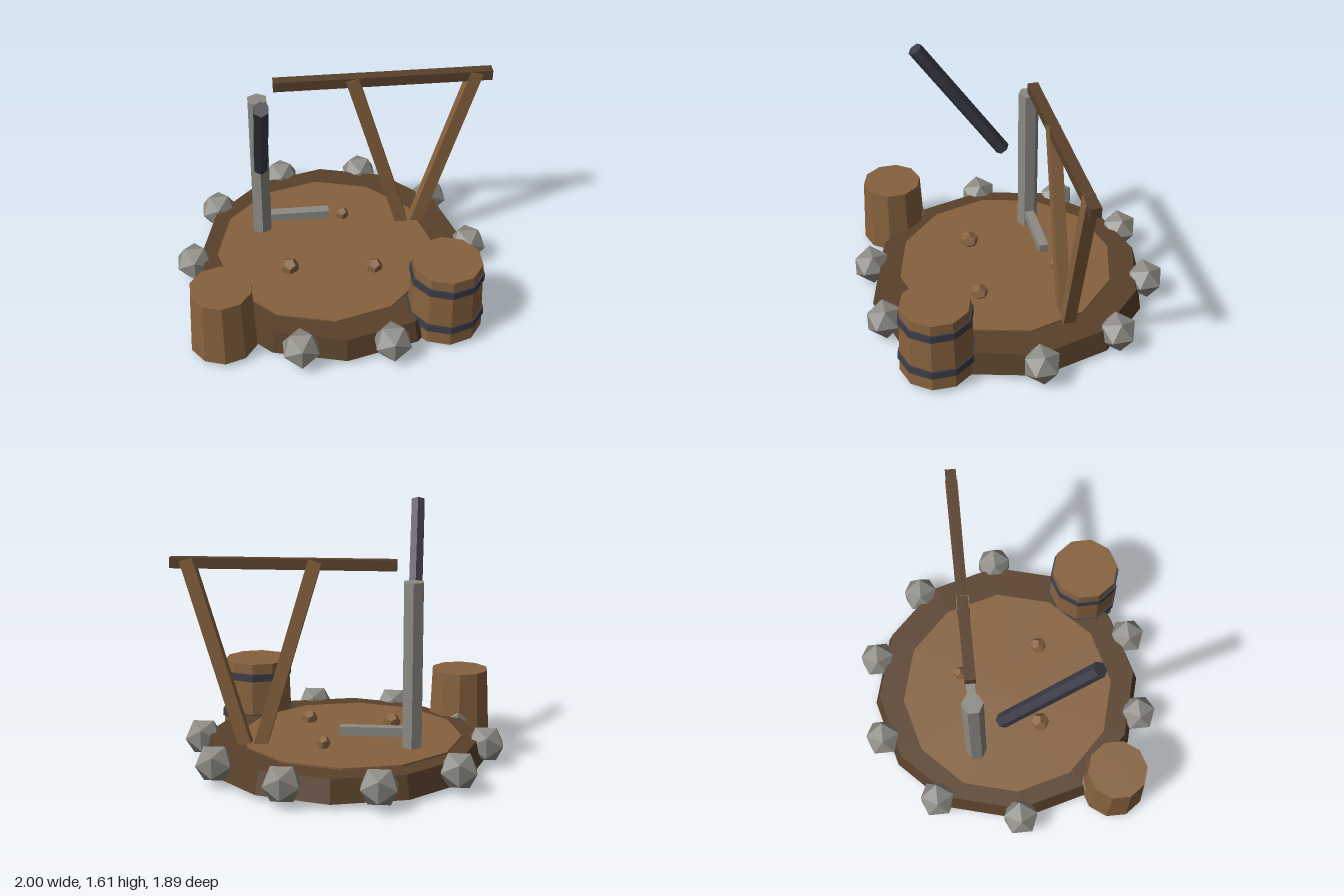
import * as THREE from 'three';

const mat = (name, color) => {
  const m = new THREE.MeshStandardMaterial({ color, flatShading: true });
  m.name = name;
  return m;
};

export function createModel() {
  const model = new THREE.Group();
  model.name = 'wellPlatform';
  const lightWood = mat('lightWood', 0x87623e);
  const darkWood = mat('darkWood', 0x59412b);
  const stone = mat('stone', 0x8c8a83);
  const iron = mat('iron', 0x3c3c48);

  const add = (name, geometry, material, x, y, z, parent = model) => {
    const mesh = new THREE.Mesh(geometry, material);
    mesh.name = name;
    mesh.position.set(x, y, z);
    parent.add(mesh);
    return mesh;
  };
  // Upright prism spanning y0..y1
  const prism = (name, material, rTop, rBottom, sides, x, y0, y1, z, parent) =>
    add(name, new THREE.CylinderGeometry(rTop, rBottom, y1 - y0, sides), material, x, (y0 + y1) / 2, z, parent);
  // Turn a mesh so its long y axis runs from a to b
  const span = (mesh, a, b) => {
    mesh.position.copy(a).add(b).multiplyScalar(0.5);
    mesh.quaternion.setFromUnitVectors(new THREE.Vector3(0, 1, 0), b.clone().sub(a).normalize());
  };

  // Round platform with a raised floor
  prism('platformBase', darkWood, 0.845, 0.88, 12, -0.01, 0.032, 0.17, 0);
  prism('platformFloor', lightWood, 0.688, 0.688, 12, -0.058, 0.16, 0.181, 0);

  // Ring of boulders
  const boulderGeometry = new THREE.IcosahedronGeometry(0.123);
  for (let i = 0; i < 10; i++) {
    const a = (i / 10) * Math.PI * 2;
    add('boulder', boulderGeometry, stone, -0.01 + 0.885 * Math.cos(a), 0.131, 0.885 * Math.sin(a));
  }

  // Small clods on the floor
  [[-0.3, 0.19, 0.061, 0.198], [0.23, 0.235, 0.054, 0.195], [0.085, -0.3, 0.045, 0.203]].forEach(([x, z, r, y]) =>
    add('clod', new THREE.DodecahedronGeometry(r), lightWood, x, y, z));

  // Stone post with a low side bar
  prism('post', stone, 0.066, 0.066, 6, -0.445, 0.026, 1.185, -0.242);
  add('postBar', new THREE.BoxGeometry(0.41, 0.055, 0.06), stone, -0.215, 0.273, -0.242);

  // Leaning iron rod
  const rodLow = new THREE.Vector3(-0.445, 0.792, -0.073);
  const rodHigh = new THREE.Vector3(-0.445, 1.586, 0.465);
  const rod = add('rod', new THREE.CylinderGeometry(0.047, 0.047, rodLow.distanceTo(rodHigh), 6), iron, 0, 0, 0);
  span(rod, rodLow, rodHigh);

  // Crossbeam on V-shaped legs
  add('crossbeam', new THREE.BoxGeometry(1.345, 0.064, 0.066), darkWood, 0.3275, 1.282, -0.242);
  const foot = new THREE.Vector3(0.52, 0.012, -0.242);
  [0.135, 0.902].forEach((x) => {
    const top = new THREE.Vector3(x, 1.303, -0.242);
    const leg = add('frameLeg', new THREE.BoxGeometry(0.08, foot.distanceTo(top), 0.074), lightWood, 0, 0, 0);
    span(leg, foot, top);
  });

  // Plain barrel
  prism('plainBarrel', lightWood, 0.188, 0.207, 10, -0.732, 0.03, 0.455, 0.622);

  // Barrel with iron hoops
  const barrel = new THREE.Group();
  barrel.name = 'hoopedBarrel';
  model.add(barrel);
  prism('barrelBody', lightWood, 0.213, 0.231, 10, 0.62, 0.032, 0.51, 0.58, barrel);
  prism('upperHoop', iron, 0.226, 0.228, 10, 0.62, 0.396, 0.444, 0.58, barrel);
  prism('lowerHoop', iron, 0.236, 0.239, 10, 0.62, 0.126, 0.174, 0.58, barrel);

  return model;
}
